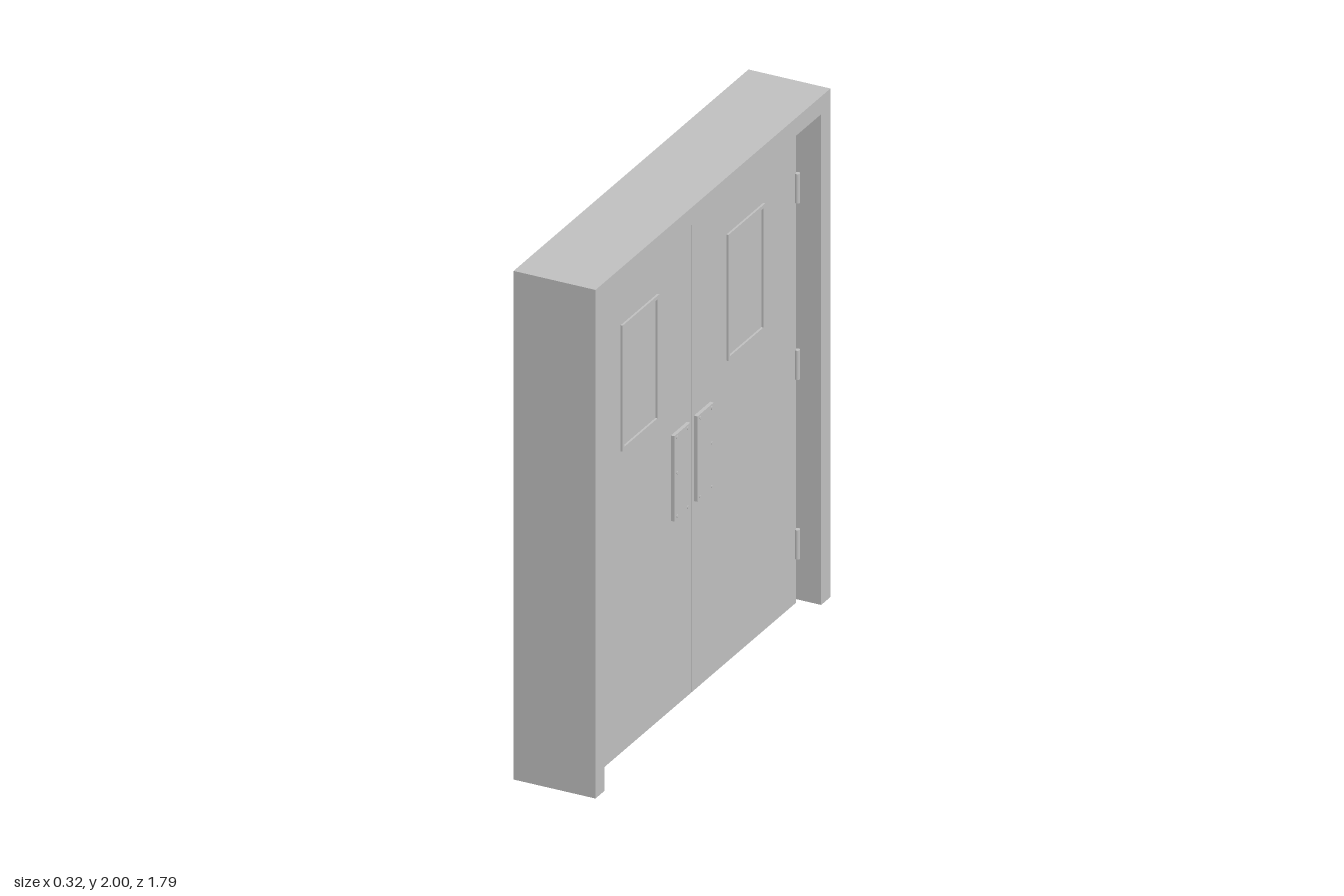
import * as THREE from 'three';

const grey = new THREE.MeshStandardMaterial({ color: 0xbfbfbf });
grey.name = 'paintedGrey';

// Box given by its limits on each axis
function box(name, x0, x1, y0, y1, z0, z1) {
  const mesh = new THREE.Mesh(new THREE.BoxGeometry(x1 - x0, y1 - y0, z1 - z0), grey);
  mesh.position.set((x0 + x1) / 2, (y0 + y1) / 2, (z0 + z1) / 2);
  mesh.name = name;
  return mesh;
}

// Upside-down U across the doorway, extruded along x
function portal(name, x0, x1, outerZ, outerY, innerZ, innerY) {
  const s = new THREE.Shape([
    [-outerZ, 0], [-innerZ, 0], [-innerZ, innerY], [innerZ, innerY],
    [innerZ, 0], [outerZ, 0], [outerZ, outerY], [-outerZ, outerY],
  ].map(([a, b]) => new THREE.Vector2(a, b)));
  const geo = new THREE.ExtrudeGeometry(s, { depth: x1 - x0, bevelEnabled: false });
  geo.rotateY(Math.PI / 2);
  const mesh = new THREE.Mesh(geo, grey);
  mesh.position.x = x0;
  mesh.name = name;
  return mesh;
}

// Rectangular ring around a window, standing proud of the door face
function windowTrim(x0, x1, y0, y1, z0, z1, t) {
  const rect = (C, i) => new C([
    new THREE.Vector2(-z1 + i, y0 + i), new THREE.Vector2(-z0 - i, y0 + i),
    new THREE.Vector2(-z0 - i, y1 - i), new THREE.Vector2(-z1 + i, y1 - i),
  ]);
  const s = rect(THREE.Shape, 0);
  s.holes.push(rect(THREE.Path, t));
  const geo = new THREE.ExtrudeGeometry(s, { depth: x1 - x0, bevelEnabled: false });
  geo.rotateY(Math.PI / 2);
  const mesh = new THREE.Mesh(geo, grey);
  mesh.position.x = x0;
  mesh.name = 'windowTrim';
  return mesh;
}

const DOOR_BACK = 0.015, DOOR_FRONT = 0.085, MIDDLE = 0.012;

// One door leaf; side is +1 for the +z leaf and -1 for the -z leaf
function doorLeaf(side) {
  const leaf = new THREE.Group();
  leaf.name = side > 0 ? 'leftDoor' : 'rightDoor';
  const span = (a, b) => [MIDDLE + side * a, MIDDLE + side * b].sort((p, q) => p - q);

  leaf.add(box('doorPanel', DOOR_BACK, DOOR_FRONT, 0.01, 1.9, ...span(0.002, 0.794)));
  leaf.add(windowTrim(DOOR_FRONT - 0.005, DOOR_FRONT + 0.008, 1.197, 1.693, ...span(0.263, 0.543), 0.014));

  // Push plate with five screws
  const plateFront = DOOR_FRONT + 0.014;
  const [p0, p1] = side > 0 ? [0.05, 0.172] : [-0.128, -0.004];
  leaf.add(box('pushPlate', DOOR_FRONT - 0.002, plateFront, 0.754, 1.09, p0, p1));
  const near = side > 0 ? p0 + 0.021 : p1 - 0.02;
  const far = side > 0 ? p1 - 0.021 : p0 + 0.016;
  for (const [y, z] of [[1.077, near], [1.077, far], [0.938, far], [0.767, near], [0.767, far]]) {
    const screw = new THREE.Mesh(new THREE.CylinderGeometry(0.006, 0.006, 0.006, 12), grey);
    screw.rotation.z = Math.PI / 2;
    screw.position.set(plateFront, y, z);
    screw.name = 'plateScrew';
    leaf.add(screw);
  }

  // Hinge knuckles at the outer edge
  for (const y of [0.242, 0.948, 1.642]) {
    const hinge = new THREE.Mesh(new THREE.CylinderGeometry(0.01, 0.01, 0.115, 16), grey);
    hinge.position.set(DOOR_FRONT + 0.004, y, MIDDLE + side * 0.796);
    hinge.name = 'hinge';
    leaf.add(hinge);
  }
  return leaf;
}

export function createModel() {
  const model = new THREE.Group();
  model.name = 'doubleDoor';
  model.add(portal('doorFrame', -0.1625, 0.1625, 0.895, 2, 0.825, 1.93));
  model.add(portal('doorStop', -0.135, -0.01, 0.826, 1.931, 0.799, 1.9));
  model.add(doorLeaf(1), doorLeaf(-1));
  return model;
}
